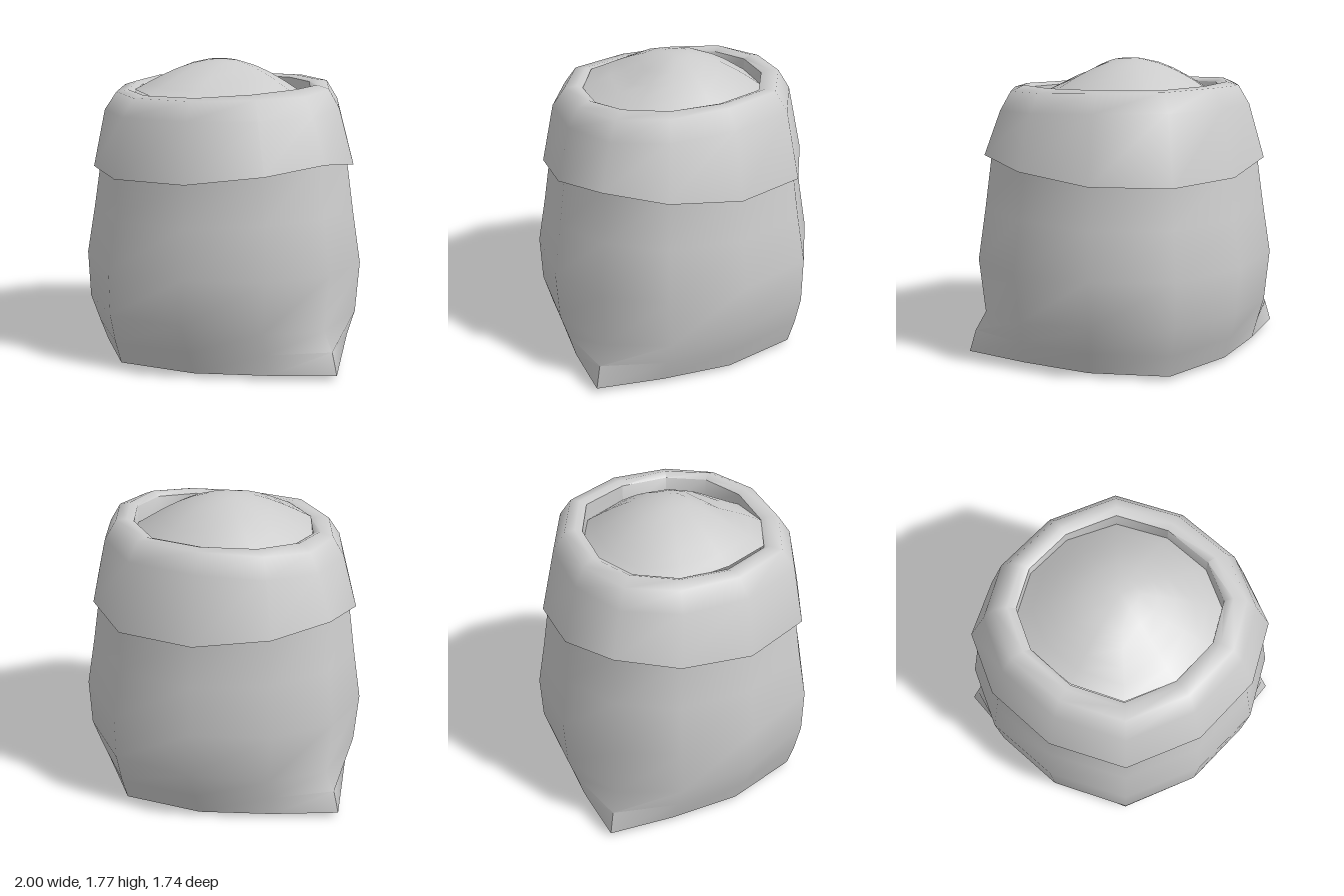
import * as THREE from 'three';
import { toCreasedNormals } from 'three/addons/utils/BufferGeometryUtils.js';

const SIDES = 12;

// One 12-sided cross-section: half width, front and back depth, and the
// heights at the sides, front and back
function ring(rx, zFront, zBack, ySide, yFront = ySide, yBack = yFront) {
  return Array.from({ length: SIDES }, (_, i) => {
    const a = (i / SIDES) * Math.PI * 2;
    const c = Math.cos(a), s = Math.sin(a);
    const yEnd = s > 0 ? yFront : yBack;
    // Slightly flattened diagonals, as cloth pulls between the corners
    const flat = 1 - 0.13 * c * c * (Math.abs(s) > 0.01 ? 1 : 0) - (Math.abs(c) > 0.01 ? 0.04 : 0);
    return new THREE.Vector3(rx * c, yEnd + (ySide - yEnd) * c ** 4, (s > 0 ? zFront : zBack) * s * flat);
  });
}

// Skin a stack of rings; faces point outward when the rings go up
function loft(name, rings, crease) {
  const pos = [];
  const tri = (a, b, c) => {
    if (a.distanceTo(b) < 1e-5 || b.distanceTo(c) < 1e-5 || a.distanceTo(c) < 1e-5) return;
    pos.push(...a.toArray(), ...b.toArray(), ...c.toArray());
  };
  for (let r = 0; r < rings.length - 1; r++) {
    for (let i = 0; i < SIDES; i++) {
      const j = (i + 1) % SIDES;
      const [lo, hi] = [rings[r], rings[r + 1]];
      tri(lo[i], hi[i], lo[j]);
      tri(lo[j], hi[i], hi[j]);
    }
  }
  const geometry = new THREE.BufferGeometry();
  geometry.setAttribute('position', new THREE.Float32BufferAttribute(pos, 3));
  const material = new THREE.MeshStandardMaterial({ color: 0xcccccc, side: THREE.DoubleSide });
  const mesh = new THREE.Mesh(toCreasedNormals(geometry, crease), material);
  mesh.name = name;
  return mesh;
}

// Narrow a ring between its two side points, leaving pinched corners
function pinch(points, amount) {
  points.forEach((p, i) => {
    if (i % 6 === 0) return;
    p.x *= 1 - amount;
    p.z *= 1 - amount * Math.abs(Math.cos((i / SIDES) * Math.PI * 2));
  });
  return points;
}

// Height of the heaped grain, fuller at the front with a scooped hollow
function grainHeight(x, z) {
  const r = Math.hypot(x + 0.03, z);
  let y = 1.775 - 0.95 * r * r + 0.6 * r ** 4;
  y += z > 0 ? 0.17 * z * z : -0.08 * z * z;
  y -= 0.05 * Math.exp(-((x - 0.24) ** 2 + (z - 0.18) ** 2) / 0.012);
  return y;
}

export function createModel() {
  const sack = new THREE.Group();
  sack.name = 'grainSack';

  // Bulging cloth body with a pinched corner at each side of the base
  const baseEdge = pinch(ring(1, 0.79, 0.79, 0.03, 0.025), 0.15);
  sack.add(loft('sackBody', [
    baseEdge,
    pinch(ring(0.96, 0.83, 0.83, 0.16), 0.09),
    ring(0.895, 0.865, 0.865, 0.27, 0.33),
    ring(0.93, 0.87, 0.87, 0.6),
    ring(0.88, 0.82, 0.82, 0.92, 0.88),
    ring(0.835, 0.78, 0.78, 1.24, 1.14),
  ], 1.2));

  // Nearly flat underside
  sack.add(loft('sackBase', [
    ring(0, 0, 0, 0),
    ring(0.35, 0.35, 0.35, 0),
    baseEdge,
  ], 0.8));

  // Folded-down cuff, rolled over the rim and into the mouth
  sack.add(loft('foldedCuff', [
    ring(0.82, 0.765, 0.765, 1.225, 1.125),
    ring(0.88, 0.82, 0.81, 1.23, 1.125),
    ring(0.78, 0.755, 0.725, 1.49, 1.475, 1.53),
    ring(0.715, 0.675, 0.65, 1.6, 1.58, 1.64),
    ring(0.635, 0.6, 0.59, 1.635, 1.59, 1.645),
    ring(0.585, 0.565, 0.545, 1.61, 1.575, 1.63),
    ring(0.58, 0.56, 0.54, 1.45),
  ], 1.1));

  // Heaped grain filling the mouth
  const grain = [1, 0.85, 0.7, 0.53, 0.36, 0.18, 0].map((k) => {
    const points = ring(0.585 * k, 0.565 * k, 0.545 * k, 0);
    points.forEach((p) => { p.y = grainHeight(p.x, p.z); });
    return points;
  });
  sack.add(loft('grainHeap', grain, 1.2));

  return sack;
}
